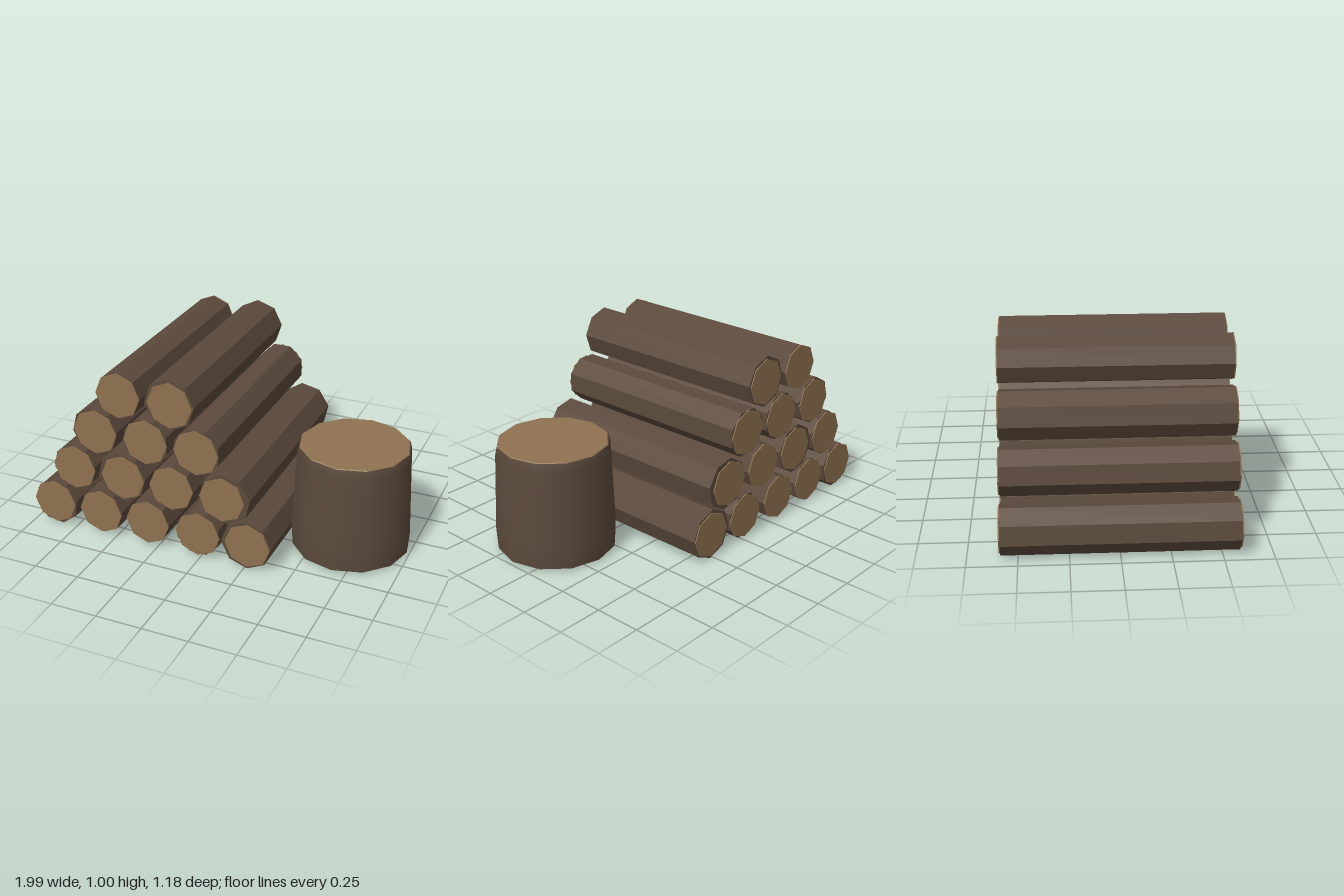
import * as THREE from 'three';

const LOG_LENGTH = 1.17;
const CAP_RADIUS = 0.125;
const CAP_DEPTH = 0.006;

// Each log: cut-end centre x, y, bark radius, bark turn in degrees, bark offset x, y
const LOGS = [
  [-0.87, 0.14, 0.13, 14, 0.007, -0.004],
  [-0.585, 0.143, 0.126, 8, 0, 0],
  [-0.305, 0.143, 0.122, 0, 0, 0],
  [-0.013, 0.143, 0.126, 22, 0, 0],
  [0.267, 0.143, 0.139, 3, -0.008, 0],
  [-0.73, 0.384, 0.126, 12, 0, 0],
  [-0.44, 0.384, 0.14, 8, -0.008, -0.002],
  [-0.158, 0.384, 0.122, 0, 0, 0],
  [0.127, 0.384, 0.143, 10, 0.013, 0.002],
  [-0.59, 0.624, 0.131, 8, -0.004, 0],
  [-0.299, 0.624, 0.129, 22.5, 0, 0],
  [-0.013, 0.624, 0.131, 22.5, 0, 0],
  [-0.446, 0.859, 0.123, 0, 0, 0],
  [-0.154, 0.861, 0.139, 4, -0.004, 0],
];

export function createModel() {
  const model = new THREE.Group();
  model.name = 'woodpile';

  const bark = new THREE.MeshStandardMaterial({ color: 0x5c4a3c, flatShading: true });
  bark.name = 'bark';
  const smoothBark = bark.clone();
  smoothBark.flatShading = false;
  smoothBark.name = 'smooth bark';
  const cutWood = new THREE.MeshStandardMaterial({ color: 0x8f7250, flatShading: true });
  cutWood.name = 'cut wood';

  const add = (parent, name, geometry, material, x = 0, y = 0, z = 0) => {
    const mesh = new THREE.Mesh(geometry, material);
    mesh.name = name;
    mesh.position.set(x, y, z);
    parent.add(mesh);
    return mesh;
  };

  // Eight-sided prism lying along z, with a corner at the top
  const prism = (radius, length) =>
    new THREE.CylinderGeometry(radius, radius, length, 8).rotateX(Math.PI / 2);

  // Stacked logs with thin pale cut ends front and back
  const pile = new THREE.Group();
  pile.name = 'logPile';
  model.add(pile);
  const capGeometry = prism(CAP_RADIUS, CAP_DEPTH);
  LOGS.forEach(([x, y, radius, turn, dx, dy]) => {
    const log = new THREE.Group();
    log.name = 'log';
    log.position.set(x, y, 0);
    pile.add(log);
    const body = add(log, 'logBark', prism(radius, LOG_LENGTH), bark, dx, dy);
    body.rotation.z = THREE.MathUtils.degToRad(turn);
    for (const side of [1, -1]) {
      add(log, 'logCutEnd', capGeometry, cutWood, 0, 0, side * (LOG_LENGTH + CAP_DEPTH) / 2);
    }
  });

  // Chopping block: smooth twelve-sided bark wall, flaring at the foot
  const block = new THREE.Group();
  block.name = 'choppingBlock';
  block.position.set(0.675, 0, 0.13);
  model.add(block);
  const profile = [[0.313, 0.015], [0.321, 0.13], [0.302, 0.555], [0.291, 0.597]]
    .map(([r, y]) => new THREE.Vector2(r, y));
  add(block, 'blockBark', new THREE.LatheGeometry(profile, 12), smoothBark);
  add(block, 'blockBase', new THREE.CircleGeometry(0.313, 12).rotateX(Math.PI / 2), bark, 0, 0.015);

  // Pale top face
  add(block, 'blockTop', new THREE.CylinderGeometry(0.285, 0.291, 0.006, 12), cutWood, 0, 0.597);

  return model;
}
